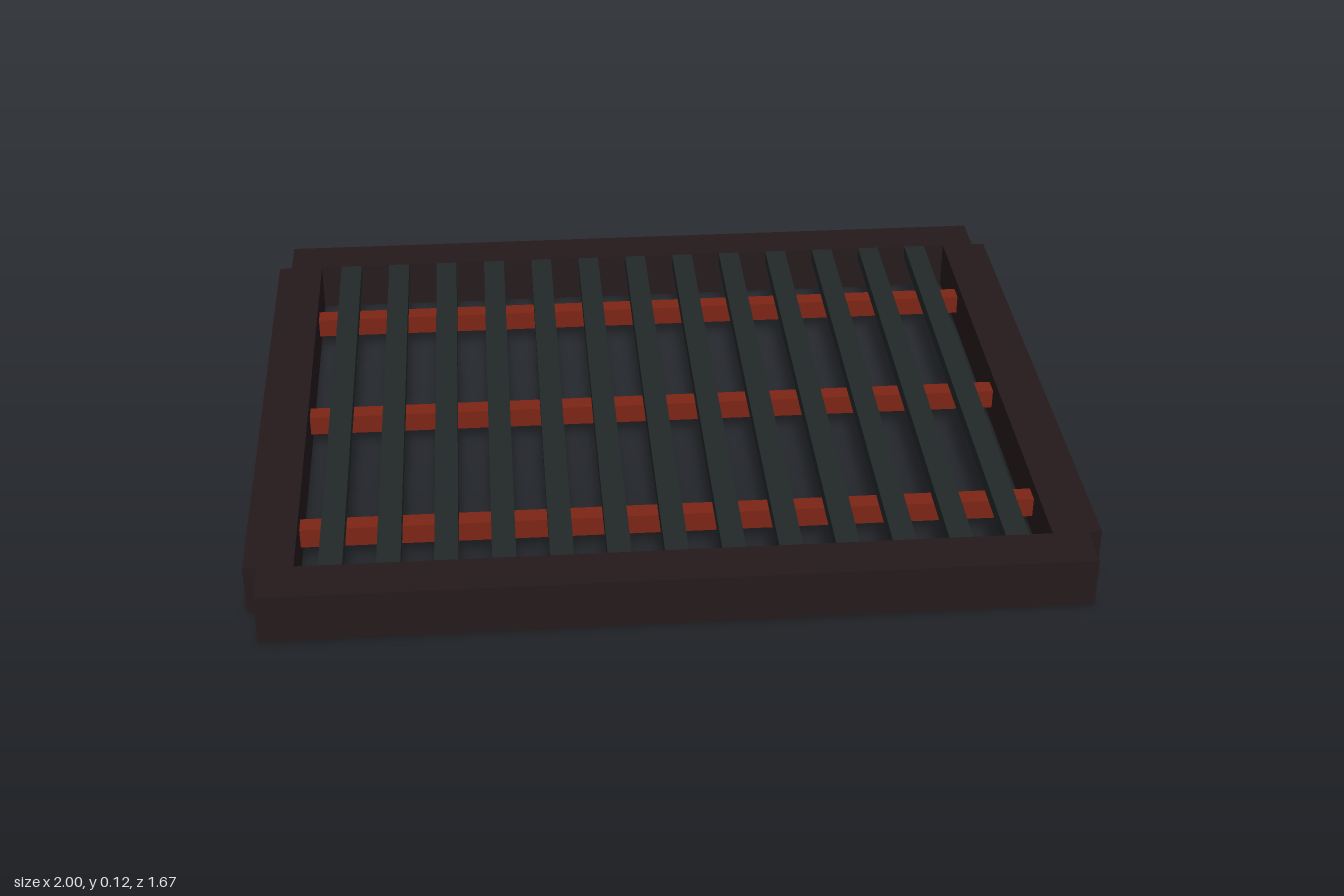
import * as THREE from 'three';

const HEIGHT = 0.125;
const railMat = new THREE.MeshStandardMaterial({ color: 0x241a1c });
const slatMat = new THREE.MeshStandardMaterial({ color: 0x222829 });
const barMat = new THREE.MeshStandardMaterial({ color: 0x7c2414 });

// Box given by its size in x and z, its bottom and top, and its centre in x and z
function addBeam(group, name, material, [w, d], [bottom, top], x, z) {
  const mesh = new THREE.Mesh(new THREE.BoxGeometry(w, top - bottom, d), material);
  mesh.position.set(x, (bottom + top) / 2, z);
  mesh.name = name;
  group.add(mesh);
}

export function createModel() {
  const model = new THREE.Group();
  model.name = 'slattedGrate';

  // Outer frame: end rails run across, side rails butt between them and stick out slightly
  const frame = new THREE.Group();
  frame.name = 'frame';
  for (const s of [1, -1]) {
    addBeam(frame, s > 0 ? 'frontRail' : 'backRail', railMat, [1.934, 0.116], [0, HEIGHT], 0, s * 0.775);
    addBeam(frame, s > 0 ? 'leftRail' : 'rightRail', railMat, [0.117, 1.434], [0, HEIGHT], s * 0.9415, 0);
  }
  model.add(frame);

  // Thirteen slats running front to back
  const slats = new THREE.Group();
  slats.name = 'slats';
  for (let i = -6; i <= 6; i++) {
    addBeam(slats, 'slat', slatMat, [0.056, 1.434], [0.09, HEIGHT], i * 0.1333, 0);
  }
  model.add(slats);

  // Three cross bars carrying the slats from below
  const bars = new THREE.Group();
  bars.name = 'crossBars';
  for (const z of [-0.5, 0, 0.5]) {
    addBeam(bars, 'crossBar', barMat, [1.766, 0.046], [0.04, 0.09], 0, z);
  }
  model.add(bars);

  return model;
}
